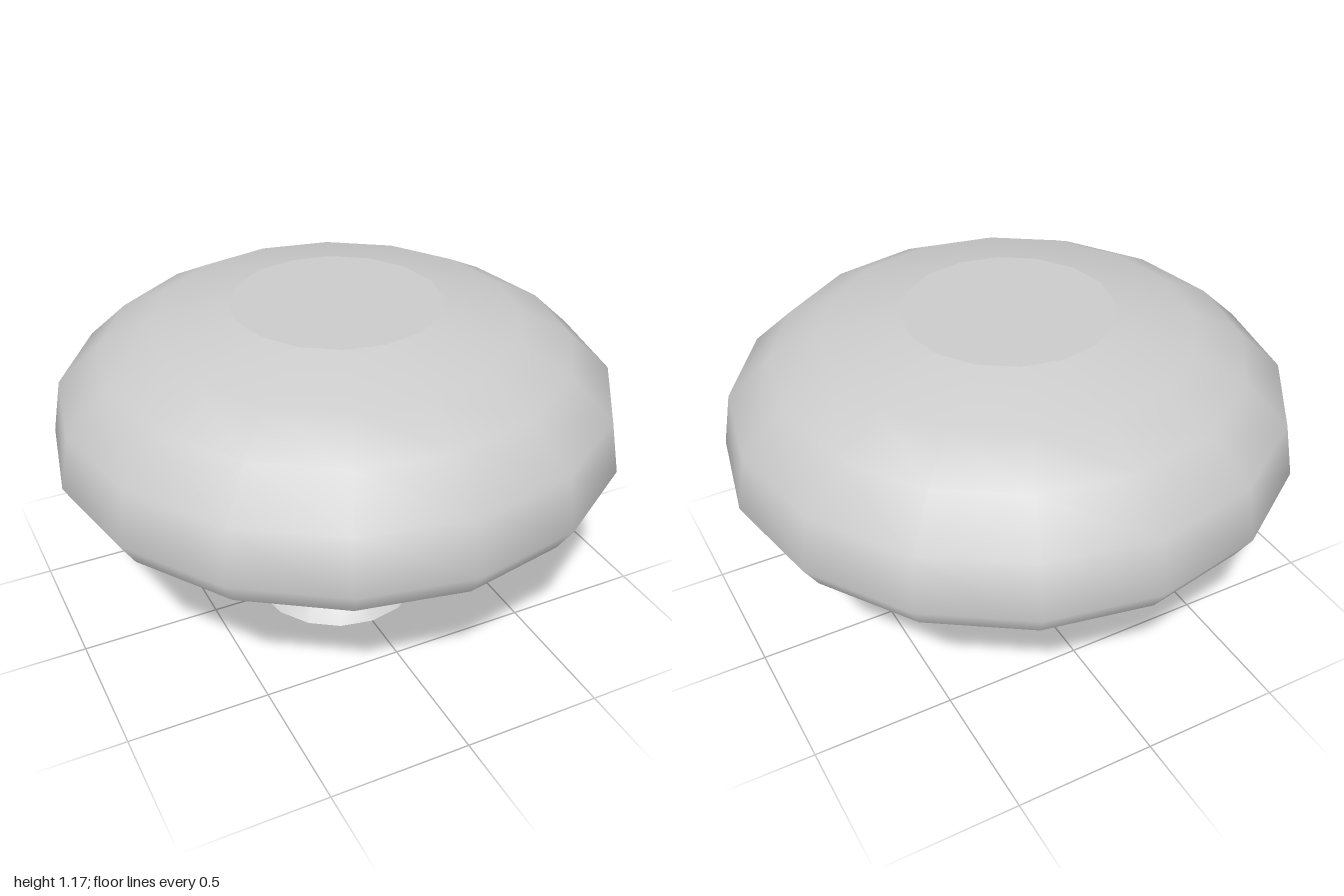
import * as THREE from 'three';

const SIDES = 16;
const material = new THREE.MeshStandardMaterial({ color: 0xcccccc });

// Revolves one smooth run of [radius, height] points, listed from bottom to top
function turned(name, points) {
  const profile = points.map(([r, y]) => new THREE.Vector2(r, y));
  const mesh = new THREE.Mesh(new THREE.LatheGeometry(profile, SIDES), material);
  mesh.name = name;
  return mesh;
}

export function createModel() {
  const model = new THREE.Group();
  model.name = 'mushroom';

  // Stem with a flared foot
  const stem = new THREE.Group();
  stem.name = 'stem';
  stem.add(
    turned('footUnderside', [[0, 0], [0.31, 0]]),
    turned('stemSide', [[0.31, 0], [0.225, 0.055], [0.195, 0.1], [0.18, 0.15], [0.18, 0.56]])
  );

  // Cap: separate runs keep the rims of the flat faces and the lower bevel sharp
  const cap = new THREE.Group();
  cap.name = 'cap';
  cap.add(
    turned('capUnderside', [[0, 0.56], [0.875, 0.56]]),
    turned('capBevel', [[0.875, 0.56], [0.945, 0.605]]),
    turned('capDome', [[0.945, 0.605], [1, 0.695], [0.965, 0.885], [0.815, 1.025], [0.64, 1.115], [0.365, 1.175]]),
    turned('capTop', [[0.365, 1.175], [0, 1.175]])
  );

  model.add(stem, cap);
  return model;
}
